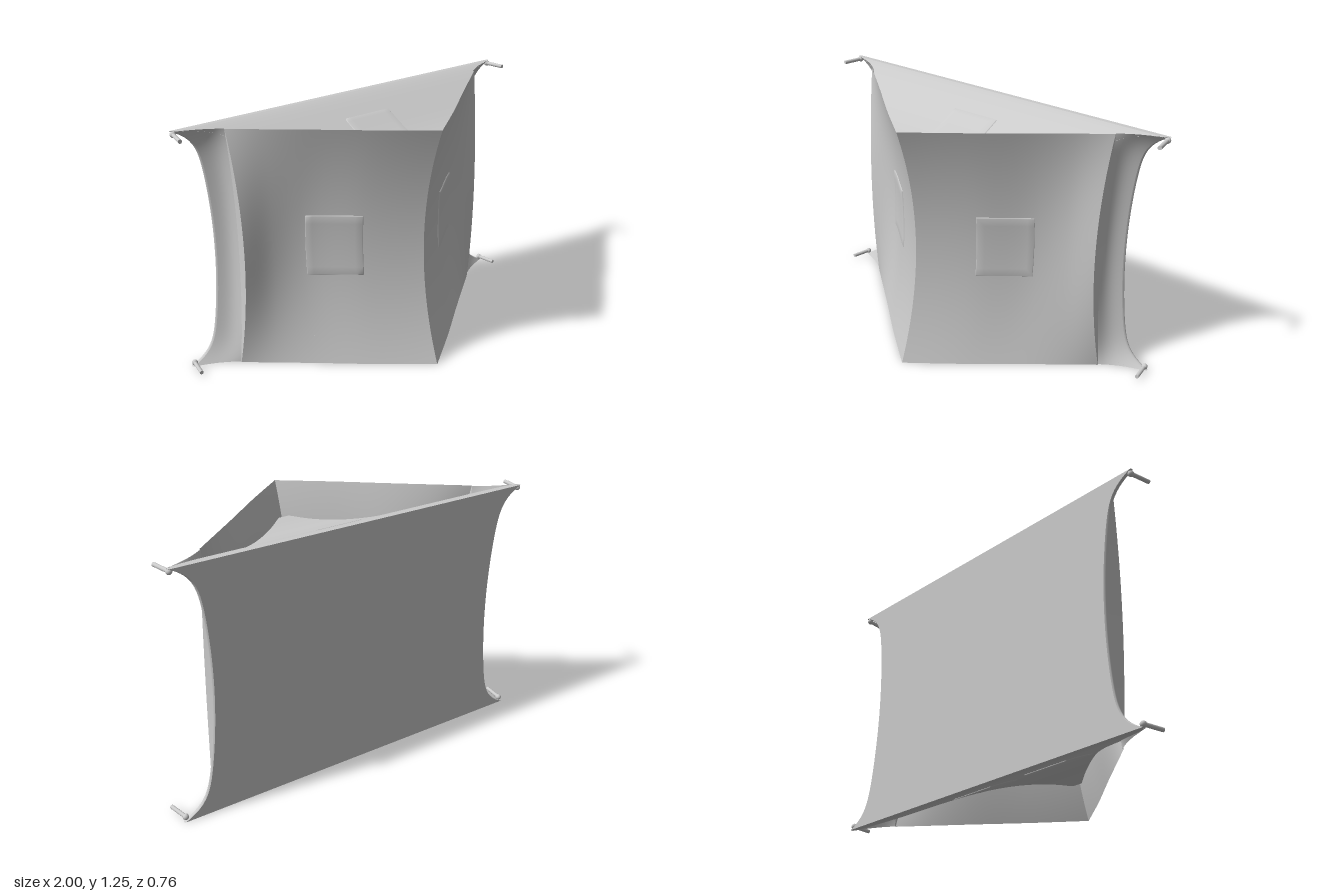
import * as THREE from 'three';

const H = 1.25, BACK = -0.38;
const mat = new THREE.MeshStandardMaterial({ color: 0xcccccc, side: THREE.DoubleSide });
const mix = THREE.MathUtils.lerp;

// Half profiles [x, z] of the sloping canvas, at mid length and at the two ends
const MID = [[0, 0.26], [0.24, 0.085], [0.46, -0.09], [0.6, -0.158], [0.745, -0.19]];
const END = [[0, 0.38], [0.24, 0.19], [0.46, 0.005], [0.63, -0.135], [0.77, -0.25]];

const uOf = (y) => Math.abs((2 * y) / H - 1);
const floorEdge = (y) => 0.8 + 0.07 * uOf(y) ** 2 + 0.11 * uOf(y) ** 12;

function slopeCurve(y) {
  const w = uOf(y) ** 2;
  return new THREE.CatmullRomCurve3(MID.map(([x, z], i) =>
    new THREE.Vector3(mix(x, END[i][0], w), y, mix(z, END[i][1], w))));
}
const slopeAt = (s, y) => slopeCurve(y).getPoint(s);

// Point where the canvas hem tucks back to the lower wall
function hemInner(y) {
  const w = uOf(y) ** 2;
  return new THREE.Vector3(mix(0.73, 0.768, w), y, mix(-0.268, -0.256, w));
}
function wallAt(s, y) {
  const a = hemInner(y), sag = 0.012 * Math.sin(Math.PI * s);
  return new THREE.Vector3(mix(a.x, floorEdge(y), s) - sag, y, mix(a.z, -0.362, s) - sag * 0.5);
}

// Half width of the shell at a given y and z
function halfWidth(y, z) {
  const c = slopeCurve(y), pts = [];
  for (let i = 0; i <= 30; i++) pts.push(c.getPoint(i / 30));
  for (let i = 0; i <= 8; i++) pts.push(wallAt(i / 8, y));
  for (let i = 1; i < pts.length; i++) {
    const a = pts[i - 1], b = pts[i];
    if (z <= a.z && z >= b.z) return mix(a.x, b.x, (a.z - z) / (a.z - b.z || 1));
  }
  return z > pts[0].z ? 0 : floorEdge(y);
}

// How far the end panel is drawn inwards at height z
const recess = (z) => {
  const t = THREE.MathUtils.clamp((z + 0.355) / 0.65, 0, 1);
  return 0.19 * Math.sin(2 * t ** 1.2);
};

// Smooth sheet from a function of two 0..1 parameters
function sheet(name, f, nu, nv) {
  const pos = [], idx = [];
  for (let j = 0; j <= nv; j++) for (let i = 0; i <= nu; i++) {
    const p = f(i / nu, j / nv);
    pos.push(p.x, p.y, p.z);
    if (i < nu && j < nv) {
      const a = j * (nu + 1) + i, b = a + nu + 1;
      idx.push(a, a + 1, b, a + 1, b + 1, b);
    }
  }
  const g = new THREE.BufferGeometry();
  g.setAttribute('position', new THREE.Float32BufferAttribute(pos, 3));
  g.setIndex(idx);
  g.computeVertexNormals();
  const m = new THREE.Mesh(g, mat);
  m.name = name;
  return m;
}

// Thin raised patch: the border lies on the surface, the middle is lifted
function patch(name, f, lift) {
  const n = 10, inset = 0.015;
  const q = (k) => (k === 0 ? 0 : k === n ? 1 : mix(inset, 1 - inset, (k - 1) / (n - 2)));
  return sheet(name, (u, v) => {
    const i = Math.round(u * n), j = Math.round(v * n);
    const p = f(q(i), q(j));
    if (i > 0 && i < n && j > 0 && j < n) p.add(lift);
    return p;
  }, n, n);
}

export function createModel() {
  const group = new THREE.Group();
  const rowY = (v) => (H / 2) * (1 + Math.sin((v - 0.5) * Math.PI));
  const V = (x, y, z) => new THREE.Vector3(x, y, z);

  // Sloping sides, hems, lower walls and side windows
  for (const side of [1, -1]) {
    const n = side > 0 ? 'left' : 'right';
    const flip = (p) => p.setX(p.x * side);
    group.add(sheet(n + 'Slope', (u, v) => flip(slopeAt(u, rowY(v))), 28, 48));
    group.add(sheet(n + 'Hem', (u, v) => {
      const y = rowY(v);
      return flip(slopeAt(1, y).lerp(hemInner(y), u));
    }, 2, 48));
    group.add(sheet(n + 'LowerWall', (u, v) => flip(wallAt(u, rowY(v))), 8, 48));
    group.add(sheet(n + 'FloorEdge', (u, v) => {
      const y = rowY(v);
      return flip(V(floorEdge(y) + 0.006 * Math.sin(Math.PI * u), y, mix(-0.362, BACK, u)));
    }, 4, 48));
    group.add(patch(n + 'Window', (u, v) =>
      flip(slopeAt(mix(0.25, 0.5, u), mix(0.47, 0.79, v))), V(0.004 * side, 0, 0.005)));
  }

  // Flat floor sheet
  group.add(sheet('floor', (u, v) => {
    const y = rowY(v);
    return V(mix(-1, 1, u) * floorEdge(y), y, BACK);
  }, 8, 48));

  // Recessed end panels with floor rims and windows
  for (const top of [false, true]) {
    const n = top ? 'top' : 'bottom';
    const yAt = (d) => (top ? H - d : d);
    const onPanel = (x, z) => V(x, yAt(recess(z)), z);
    group.add(sheet(n + 'EndPanel', (u, v) => {
      const z = mix(-0.355, 0.3, v);
      return onPanel(mix(-1, 1, u) * halfWidth(yAt(recess(z)), z), z);
    }, 16, 40));
    group.add(sheet(n + 'FloorRim', (u, v) =>
      V(mix(-1, 1, u) * mix(floorEdge(0), halfWidth(0, -0.355), v), yAt(0), mix(BACK, -0.355, v)), 2, 1));
    for (const cx of top ? [0] : [-0.25, 0.25]) {
      group.add(patch(n + 'EndWindow', (u, v) =>
        onPanel(cx + mix(-0.135, 0.135, u), mix(-0.19, -0.01, v)), V(0, top ? 0.006 : -0.006, -0.003)));
    }
  }

  // Corner pegs
  for (const side of [1, -1]) for (const y of [0.02, H - 0.015]) {
    const a = V(0.972 * side, y, -0.365), b = V(0.99 * side, y, -0.26);
    const peg = new THREE.Mesh(new THREE.CylinderGeometry(0.01, 0.01, a.distanceTo(b), 12), mat);
    peg.name = 'peg';
    peg.position.copy(a).lerp(b, 0.5);
    peg.quaternion.setFromUnitVectors(V(0, 1, 0), b.clone().sub(a).normalize());
    const knob = new THREE.Mesh(new THREE.SphereGeometry(0.015, 16, 10), mat);
    knob.name = 'pegLoop';
    knob.position.copy(a);
    group.add(peg, knob);
  }
  return group;
}
